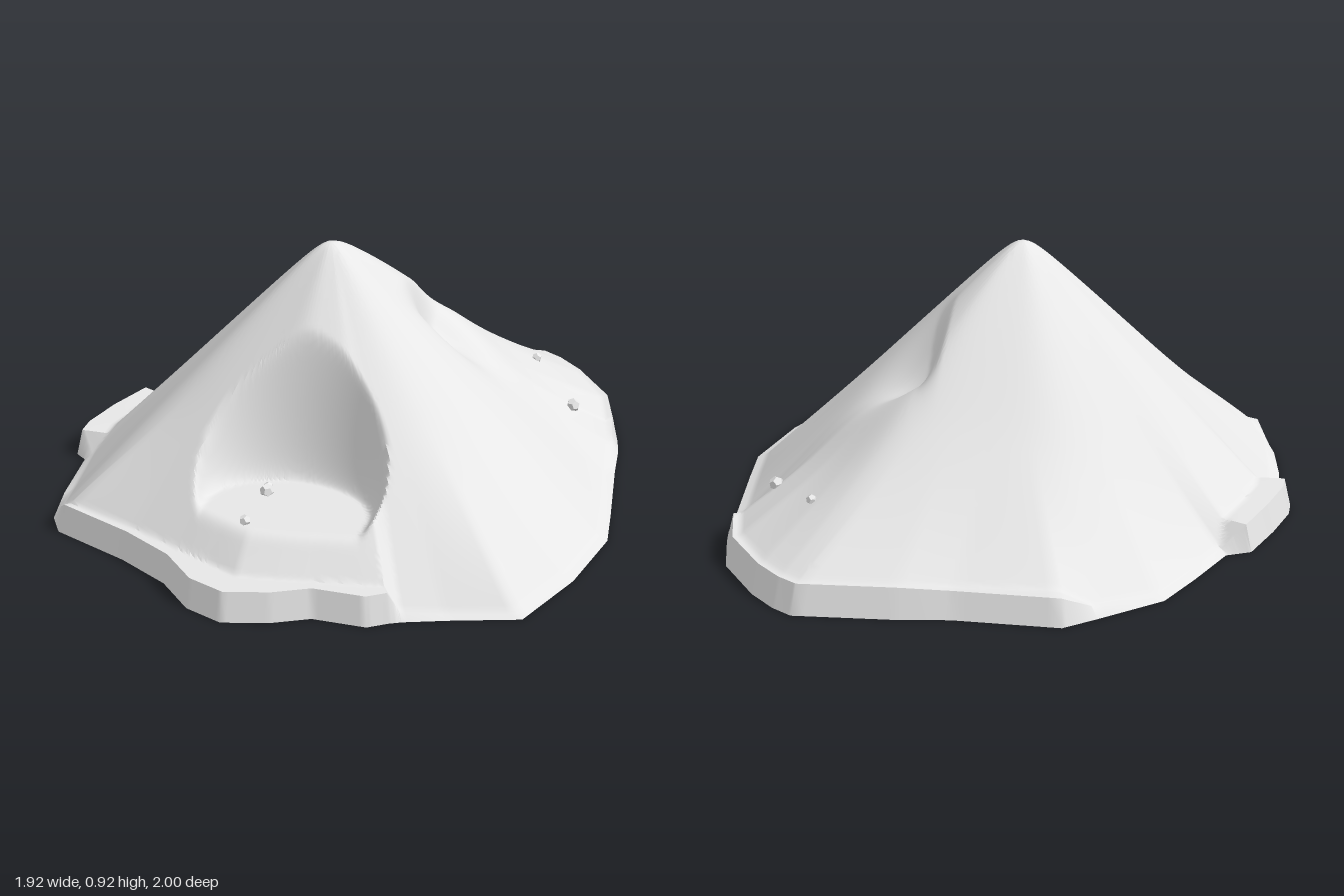
import * as THREE from 'three';
import { toCreasedNormals } from 'three/addons/utils/BufferGeometryUtils.js';

const APEX = { x: -0.03, y: 0.92, z: 0.06 };
const smooth = THREE.MathUtils.smoothstep;
const bump = (dx, dz, rx, rz) => Math.exp(-((dx / rx) ** 2) - (dz / rz) ** 2);

// Rim outline, counter-clockwise from above: x, z, cliff height, where the shelf starts (0..1)
const RIM = [
  [-0.12, 1.0, 0.09, 0.87], [0.03, 0.96, 0.09, 0.89], [0.15, 0.9, 0.09, 0.93], [0.33, 0.9, 0.09, 0.9],
  [0.39, 0.86, 0.09, 0.93], [0.43, 0.84, 0.01, 0.97], [0.57, 0.79, 0, 0.97], [0.79, 0.72, 0, 0.97],
  [0.9, 0.45, 0, 0.97], [0.96, 0.17, 0, 0.97], [0.94, 0, 0, 0.97], [0.9, -0.3, 0, 0.97],
  [0.885, -0.45, 0.03, 0.97], [0.87, -0.52, 0.09, 0.95], [0.82, -0.7, 0.09, 0.95], [0.68, -0.88, 0.09, 0.96],
  [0.59, -0.96, 0.09, 0.96], [0.52, -1.0, 0.09, 0.96], [0.2, -0.97, 0.09, 0.96], [0.02, -0.94, 0.08, 0.95],
  [-0.33, -0.93, 0.08, 0.92], [-0.43, -0.85, 0.02, 0.97], [-0.62, -0.69, 0, 0.97], [-0.7, -0.52, 0, 0.97],
  [-0.78, -0.33, 0.01, 0.97], [-0.86, -0.29, 0.085, 0.88], [-0.92, -0.12, 0.09, 0.88], [-0.96, 0.03, 0.09, 0.87],
  [-0.96, 0.1, 0.09, 0.87], [-0.92, 0.13, 0.01, 0.97], [-0.9, 0.37, 0, 0.97], [-0.87, 0.54, 0.03, 0.97],
  [-0.82, 0.62, 0.09, 0.95], [-0.55, 0.73, 0.09, 0.94], [-0.37, 0.83, 0.09, 0.92], [-0.25, 0.95, 0.09, 0.86],
];

// Minimum of two heights with a rounded join
function softMin(a, b, k) {
  const h = Math.max(k - Math.abs(a - b), 0) / k;
  return Math.min(a, b) - h * h * k / 4;
}

// Height of the slope at x, z, for a fraction t of the way from summit to rim
function slopeHeight(x, z, t, cliff, shelf) {
  const a = 0.05;
  const u = Math.min(t / shelf, 1);
  const fall = (Math.sqrt(u * u + a * a) - a) / (Math.sqrt(1 + a * a) - a);
  let y = APEX.y + (cliff + 0.01 - APEX.y) * fall;
  // slightly hollow lower slope at the back
  y -= 0.2 * u * u * (1 - u) * smooth(-z, 0, 0.5);
  // landslide scar with a steep left side, and the trough below it
  y -= 0.15 * smooth(x, 0.17, 0.25) * bump(x - 0.25, z + 0.2, 0.18, 0.12);
  y -= 0.03 * bump(x - 0.52, z + 0.42, 0.22, 0.22);
  // hollow with a level floor and a steep back wall
  if (z > 0.1) {
    const q = Math.hypot((x + 0.02) / 0.46, Math.min(z - 0.62, 0) / 0.34);
    const wall = 0.205 + 0.55 * smooth(q, 0.58, 1.02) + Math.max(0, q - 1.02) * 5;
    y = softMin(y, wall, 0.025);
  }
  return y;
}

function mountainGeometry() {
  const SUB = 8, ROWS = 80, SPREAD = 14;
  const cols = RIM.length * SUB;
  // exact rim columns, and a rounded copy that shapes the upper slopes
  const rim = [];
  for (let c = 0; c < cols; c++) {
    const p = RIM[Math.floor(c / SUB)];
    const n = RIM[(Math.floor(c / SUB) + 1) % RIM.length];
    rim.push(p.map((v, k) => v + (n[k] - v) * (c % SUB) / SUB));
  }
  const rounded = rim.map((p, c) => p.map((v, k) => {
    let sum = 0, total = 0;
    for (let d = -SPREAD; d <= SPREAD; d++) {
      const w = SPREAD + 1 - Math.abs(d);
      sum += w * rim[(c + d + cols) % cols][k];
      total += w;
    }
    return sum / total;
  }));

  const pos = [], index = [];
  for (let r = 0; r <= ROWS + 1; r++) {
    const t = r > ROWS ? 1 : 0.975 * r / ROWS;
    const blend = smooth(t, 0.5, 0.96);
    for (let c = 0; c < cols; c++) {
      const [rx, rz, cliff, shelf] = rounded[c].map((v, k) => v + (rim[c][k] - v) * blend);
      const x = APEX.x + (rx - APEX.x) * t;
      const z = APEX.z + (rz - APEX.z) * t;
      pos.push(x, r > ROWS ? 0 : slopeHeight(x, z, t, cliff, shelf), z);
    }
  }
  for (let r = 0; r <= ROWS; r++) {
    for (let c = 0; c < cols; c++) {
      const a = r * cols + c, d = r * cols + (c + 1) % cols;
      index.push(a, a + cols, d + cols);
      if (r > 0) index.push(a, d + cols, d);
    }
  }
  const g = new THREE.BufferGeometry();
  g.setAttribute('position', new THREE.Float32BufferAttribute(pos, 3));
  g.setIndex(index);
  return toCreasedNormals(g, 0.8);
}

export function createModel() {
  const group = new THREE.Group();
  group.name = 'mountain';
  const stone = new THREE.MeshStandardMaterial({ color: 0xe7e7e7, side: THREE.DoubleSide });
  stone.name = 'pale stone';

  // open-bottomed mountain shell
  const shell = new THREE.Mesh(mountainGeometry(), stone);
  shell.name = 'mountainShell';
  group.add(shell);

  // loose pebbles, dropped onto the surface
  const ray = new THREE.Raycaster();
  const pebbles = [
    [0.54, -0.64, 0.018], [0.72, -0.42, 0.025], [-0.125, 0.72, 0.02], [-0.12, 0.49, 0.017], [-0.115, 0.52, 0.024],
  ];
  pebbles.forEach(([x, z, size], i) => {
    ray.set(new THREE.Vector3(x, 2, z), new THREE.Vector3(0, -1, 0));
    const hit = ray.intersectObject(shell)[0];
    const pebble = new THREE.Mesh(new THREE.DodecahedronGeometry(size), stone);
    pebble.name = 'pebble' + (i + 1);
    pebble.position.set(x, (hit ? hit.point.y : 0.2) + size * 0.4, z);
    pebble.rotation.set(i, i * 2, 0.4);
    group.add(pebble);
  });
  return group;
}
